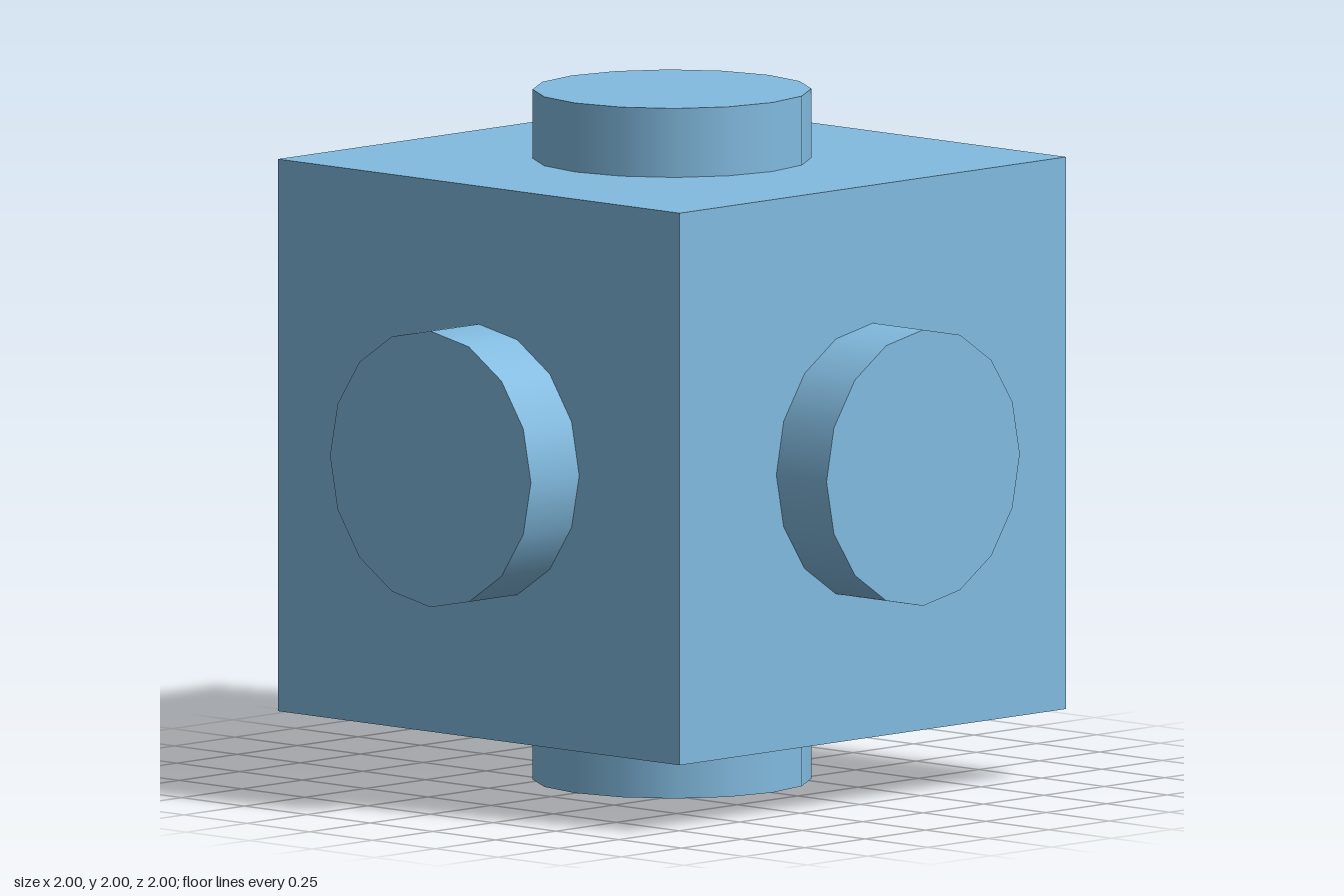
import * as THREE from 'three';

export function createModel() {
  const model = new THREE.Group();
  const material = new THREE.MeshStandardMaterial({ color: 0x82bbe0 });

  const half = 0.8;       // half the cube's edge
  const studHeight = 0.2;
  const studRadius = 0.4;

  // Cube body
  const body = new THREE.Mesh(new THREE.BoxGeometry(2 * half, 2 * half, 2 * half), material);
  body.name = 'body';
  body.position.y = 1;
  model.add(body);

  // One round stud centred on each of the six faces
  const studGeometry = new THREE.CylinderGeometry(studRadius, studRadius, studHeight, 16);
  const up = new THREE.Vector3(0, 1, 0);
  const faces = {
    topStud: [0, 1, 0],
    bottomStud: [0, -1, 0],
    leftStud: [1, 0, 0],
    rightStud: [-1, 0, 0],
    frontStud: [0, 0, 1],
    backStud: [0, 0, -1],
  };
  for (const [name, axis] of Object.entries(faces)) {
    const direction = new THREE.Vector3(...axis);
    const stud = new THREE.Mesh(studGeometry, material);
    stud.name = name;
    stud.quaternion.setFromUnitVectors(up, direction);
    stud.position.copy(body.position).addScaledVector(direction, half + studHeight / 2);
    model.add(stud);
  }

  return model;
}
